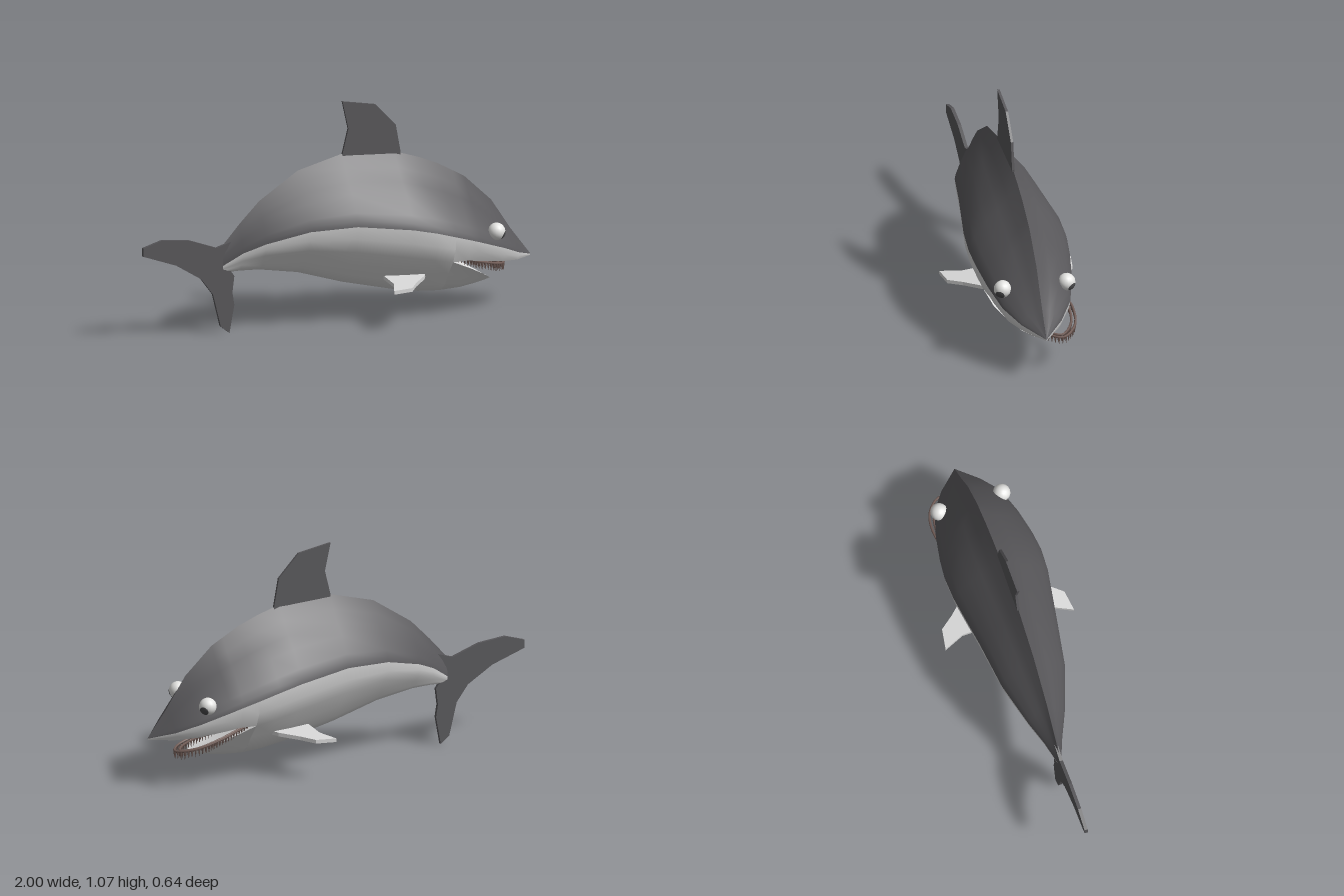
import * as THREE from 'three';
import { mergeGeometries } from 'three/addons/utils/BufferGeometryUtils.js';

const mat = (name, color) => Object.assign(new THREE.MeshStandardMaterial({ color }), { name });

// Skin a list of equal-length cross-sections ([x, y, z] points) running towards +x.
function loft(rows) {
  const n = rows[0].length, index = [];
  for (let i = 0; i < rows.length - 1; i++) {
    for (let j = 0; j < n - 1; j++) {
      const a = i * n + j, b = a + n;
      index.push(a, b, a + 1, b, b + 1, a + 1);
    }
  }
  const g = new THREE.BufferGeometry();
  g.setAttribute('position', new THREE.Float32BufferAttribute(rows.flat(2), 3));
  g.setIndex(index);
  g.computeVertexNormals();
  return g;
}

// Flat plate in the XY plane, centred on z = 0.
function plate(points, depth) {
  const shape = new THREE.Shape(points.map(([x, y]) => new THREE.Vector2(x, y)));
  return new THREE.ExtrudeGeometry(shape, { depth, bevelEnabled: false }).translate(0, 0, -depth / 2);
}

export function createModel() {
  const group = new THREE.Group();
  const skin = mat('darkGreySkin', 0x59585b);
  const belly = mat('paleBelly', 0xd8d8d8);
  const eyeWhite = mat('eyeWhite', 0xe4e4e2);
  const pupilGrey = mat('pupilGrey', 0x4c4c4e);
  const toothBrown = mat('toothBrown', 0x75605a);
  const add = (name, geometry, material) => {
    const m = new THREE.Mesh(geometry, material);
    m.name = name;
    group.add(m);
    return m;
  };

  // Stations: x, ridge y, colour line y, lower edge y, half width
  const trunk = [
    [-0.59, 0.43, 0.335, 0.30, 0.010],
    [-0.5, 0.53, 0.395, 0.302, 0.045],
    [-0.4, 0.63, 0.44, 0.298, 0.09],
    [-0.2, 0.76, 0.495, 0.265, 0.158],
    [0.03, 0.82, 0.505, 0.195, 0.193],
    [0.3, 0.805, 0.472, 0.132, 0.235],
    [0.42, 0.767, 0.445, 0.112, 0.24],
    [0.52, 0.727, 0.415, 0.105, 0.23],
  ];
  const head = [
    [0.52, 0.727, 0.415, 0.285, 0.23],
    [0.6, 0.683, 0.39, 0.283, 0.216],
    [0.66, 0.65, 0.37, 0.273, 0.205],
    [0.8, 0.52, 0.32, 0.25, 0.165],
    [0.9, 0.37, 0.275, 0.236, 0.098],
    [1.0, 0.24, 0.236, 0.23, 0.001],
  ];

  // Dark back, one smooth side each so the ridge stays sharp
  const backProfile = [[1, 0], [0.97, 0.09], [0.88, 0.2], [0.64, 0.45], [0.4, 0.61], [0.2, 0.79], [0, 1]];
  const backRows = [...trunk, ...head.slice(1)].map(([x, top, line, , w]) =>
    backProfile.map(([u, t]) => [x, line + t * (top - line), u * w]));
  add('leftBack', loft(backRows), skin);
  add('rightBack', loft(backRows.map(r => r.map(([x, y, z]) => [x, y, -z]).reverse())), skin);

  // Mirror a half section (outer edge to centre) into a full one, -z to +z
  const fullUnder = half => [
    ...half.map(([x, y, z]) => [x, y, -z]),
    ...half.slice(0, -1).reverse(),
  ];

  // Pale belly
  const bellyProfile = [[1, 0], [0.97, 0.2], [0.84, 0.42], [0.58, 0.65], [0.42, 0.84], [0.2, 0.96], [0, 1]];
  add('belly', loft(trunk.map(([x, , line, low, w]) =>
    fullUnder(bellyProfile.map(([u, t]) => [x, line - t * (line - low), u * w])))), belly);

  // Upper lip on both sides, and the arched palate between
  const lipHalf = ([x, , line, lip, w]) =>
    [[x, line, w], [x, line + (lip - line) * 0.48, w * 0.97], [x, lip, w * 0.84]];
  add('leftUpperLip', loft(head.map(s => lipHalf(s).reverse())), belly);
  add('rightUpperLip', loft(head.map(s => lipHalf(s).map(([x, y, z]) => [x, y, -z]))), belly);
  add('palate', loft(head.map(([x, , , lip, w], i) => {
    const arch = i === 0 ? 0 : 0.1 * w;
    return fullUnder([[x, lip, w * 0.84], [x, lip + arch, w * 0.5], [x, lip + arch * 1.3, 0]]);
  })), belly);

  // Lower jaw: x, rim y, bottom y, half width
  const jaw = [
    [0.52, 0.285, 0.105, 0.193],
    [0.62, 0.24, 0.111, 0.165],
    [0.7, 0.198, 0.124, 0.115],
    [0.76, 0.162, 0.135, 0.055],
    [0.79, 0.143, 0.14, 0.001],
  ];
  const jawProfile = [[1, 0], [0.69, 0.4], [0.5, 0.72], [0.24, 0.93], [0, 1]];
  add('lowerJaw', loft(jaw.map(([x, rim, low, w]) =>
    fullUnder(jawProfile.map(([u, t]) => [x, rim - t * (rim - low), u * w])))), belly);
  add('mouthFloor', loft(jaw.map(([x, rim, low, w], i) =>
    [1, 0.5, 0, -0.5, -1].map(u => [x, rim - (i ? 0.25 : 0) * (rim - low) * (1 - u * u), u * w]))), belly);

  // Dorsal and tail fins
  add('dorsalFin', plate([[0.03, 0.77], [0.03, 0.82], [0.06, 0.94], [0.03, 1.075], [0.2, 1.045],
    [0.305, 0.935], [0.33, 0.8], [0.33, 0.75]], 0.012), skin);
  add('tailFin', plate([[-0.51, 0.46], [-0.62, 0.425], [-0.76, 0.475], [-0.9, 0.49], [-1, 0.46], [-1, 0.42],
    [-0.83, 0.36], [-0.7, 0.28], [-0.64, 0.2], [-0.6, 0.04], [-0.555, 0.005], [-0.53, 0.14],
    [-0.54, 0.2], [-0.53, 0.28], [-0.575, 0.345]], 0.016), skin);

  // Paired pectoral fins, drooping slightly towards the tip
  const finOutline = [[0.42, 0.1], [0.385, 0.16], [0.31, 0.24], [0.26, 0.305], [0.16, 0.32], [0.2, 0.225], [0.2, 0.1]];
  for (const side of [1, -1]) {
    const label = side > 0 ? 'left' : 'right';
    const fin = plate(finOutline.map(([x, z]) => [x, z * side]), 0.018).rotateX(Math.PI / 2);
    const p = fin.attributes.position;
    for (let i = 0; i < p.count; i++) {
      p.setY(i, p.getY(i) + 0.2 + (0.32 - Math.abs(p.getZ(i))) * 0.1);
    }
    fin.computeVertexNormals();
    add(label + 'PectoralFin', fin, belly);

    // Eye with a pupil cap looking forwards
    const eye = add(label + 'Eye', new THREE.SphereGeometry(0.042, 16, 12), eyeWhite);
    const pupil = add(label + 'Pupil', new THREE.SphereGeometry(0.0435, 14, 5, 0, Math.PI * 2, 0, 0.55), pupilGrey);
    eye.position.set(0.76, 0.404, 0.156 * side);
    pupil.position.copy(eye.position);
    pupil.quaternion.setFromUnitVectors(new THREE.Vector3(0, 1, 0),
      new THREE.Vector3(0.75, -0.4, 0.5 * side).normalize());
  }

  // Tooth rows: a U-shaped gum hanging on the right of the mouth
  const arch = [[0.54, 0.283, -0.15], [0.72, 0.24, -0.195], [0.84, 0.205, -0.175], [0.905, 0.188, -0.105],
    [0.86, 0.195, -0.035], [0.72, 0.228, -0.005], [0.56, 0.278, -0.03]];
  [1, 0.82].forEach((s, row) => {
    const curve = new THREE.CatmullRomCurve3(arch.map(([x, y, z]) =>
      new THREE.Vector3(0.54 + (x - 0.54) * (row ? 0.93 : 1), y, -0.1 + (z + 0.1) * s)));
    const parts = [new THREE.TubeGeometry(curve, 40, 0.006, 5)];
    const count = 46;
    for (let i = 0; i < count; i++) {
      const t = (i + 0.5) / count, p = curve.getPointAt(t);
      const length = 0.024 + 0.016 * Math.sin(Math.PI * t);
      parts.push(new THREE.ConeGeometry(0.0065, length, 4).rotateX(Math.PI)
        .translate(p.x, p.y - length / 2, p.z));
    }
    add(row ? 'innerTeeth' : 'outerTeeth', mergeGeometries(parts), toothBrown);
  });

  return group;
}
